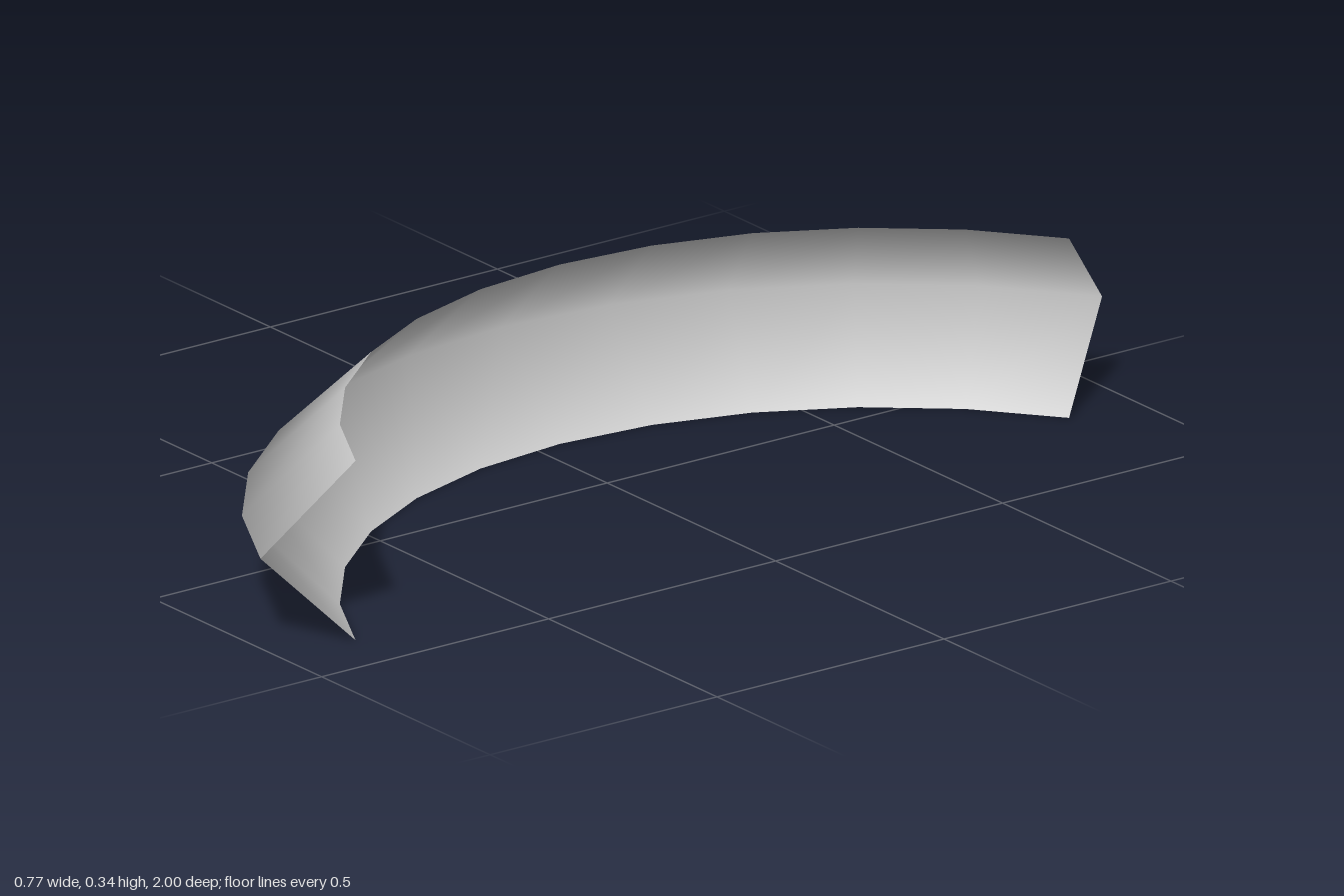
import * as THREE from 'three';

export function createModel() {
  const group = new THREE.Group();
  group.name = 'curvedChannel';
  const lightGrey = new THREE.MeshStandardMaterial({ color: 0xcccccc, side: THREE.DoubleSide });
  lightGrey.name = 'lightGrey';

  // V-shaped section: open towards the centre of the arc, ridge on the outside
  const inner = 0.966, outer = 1.1394, height = 0.338;
  const section = [
    new THREE.Vector2(inner, 0),
    new THREE.Vector2(outer, height / 2),
    new THREE.Vector2(inner, height),
  ];

  // Eleven steps of a 32-sided ring
  const step = Math.PI / 16;
  const band = new THREE.Mesh(
    new THREE.LatheGeometry(section, 11, -Math.PI / 2 - 5 * step, 11 * step), lightGrey);
  band.name = 'curvedBand';
  band.position.set(0.7546, 0, -0.0526);
  group.add(band);
  return group;
}
